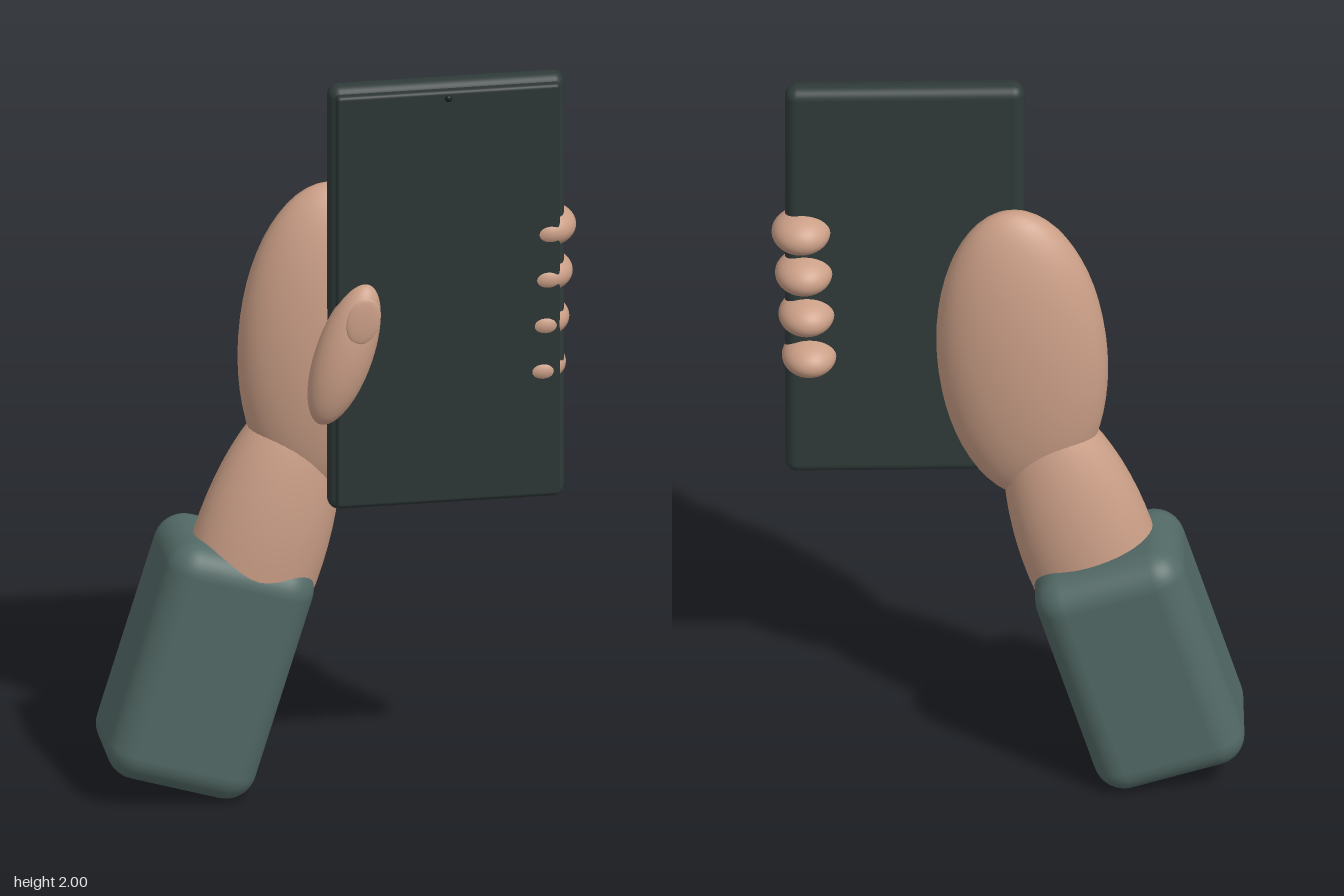
import * as THREE from 'three';
import { RoundedBoxGeometry } from 'three/addons/geometries/RoundedBoxGeometry.js';

const material = (name, color) => {
  const m = new THREE.MeshStandardMaterial({ color });
  m.name = name;
  return m;
};

export function createModel() {
  const group = new THREE.Group();
  group.name = 'handHoldingPhone';

  const skin = material('skin', 0xcb9f87);
  const cloth = material('sleeve teal', 0x526965);
  const shell = material('phone casing', 0x2f3b39);
  const glass = material('screen glass', 0x2d3635);
  const black = material('camera black', 0x161c1c);

  const add = (name, geometry, mat, position, rotation = [0, 0, 0]) => {
    const mesh = new THREE.Mesh(geometry, mat);
    mesh.name = name;
    mesh.position.set(...position);
    mesh.rotation.set(...rotation);
    group.add(mesh);
    return mesh;
  };
  const ellipsoid = (name, mat, radii, position, rotation) =>
    add(name, new THREE.SphereGeometry(1, 40, 28).scale(...radii), mat, position, rotation);

  // Sleeve and forearm share the same lean
  const lean = -0.296;
  add('sleeve', new RoundedBoxGeometry(0.4, 0.67, 0.33, 6, 0.08), cloth, [-0.34, 0.36, -0.06], [0, 0, lean]);
  ellipsoid('wrist', skin, [0.175, 0.46, 0.125], [-0.207, 0.67, -0.025], [0, 0, lean]);

  // Hand
  ellipsoid('palm', skin, [0.22, 0.435, 0.121], [-0.04, 1.245, -0.012], [0, -0.06, -0.06]);
  ellipsoid('thumb', skin, [0.075, 0.2, 0.064], [-0.012, 1.268, 0.155], [0, 0, -0.32]);
  ellipsoid('thumbnail', skin, [0.043, 0.063, 0.008], [0.029, 1.38, 0.214], [0, 0, -0.25]);

  // Fingertips wrapped around the far edge of the phone
  for (let i = 0; i < 4; i++) {
    const s = 1 - i * 0.025;
    ellipsoid('finger' + (i + 1), skin, [0.076 * s, 0.054 * s, 0.081],
      [0.527 - i * 0.007, 1.566 - i * 0.127, 0.081]);
  }

  // Phone
  add('phoneBody', new RoundedBoxGeometry(0.615, 1.18, 0.066, 5, 0.03), shell, [0.26, 1.41, 0.103]);
  add('screen', new RoundedBoxGeometry(0.582, 1.145, 0.03, 4, 0.01), glass, [0.26, 1.41, 0.14]);
  add('frontCamera', new THREE.SphereGeometry(0.009, 16, 12).scale(1, 1, 0.7), black, [0.26, 1.962, 0.155]);

  return group;
}
